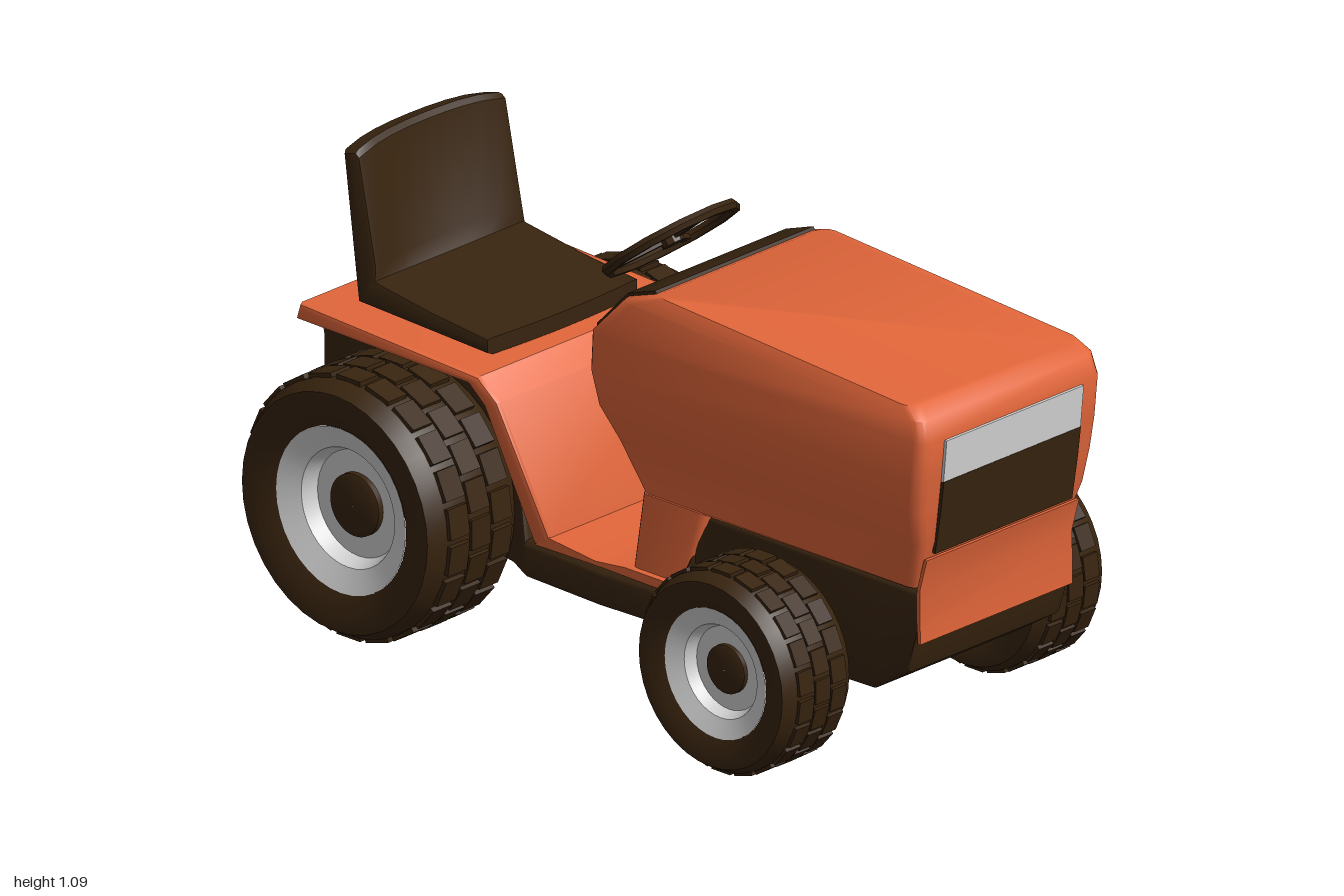
import * as THREE from 'three';
import { toCreasedNormals } from 'three/addons/utils/BufferGeometryUtils.js';

const mat = (name, color) => {
  const m = new THREE.MeshStandardMaterial({ color });
  m.name = name;
  return m;
};

export function createModel() {
  const orange = mat('orange paint', 0xe2663a);
  const dark = mat('dark brown', 0x38240f);
  const light = mat('light grey', 0xd6d6d6);
  const tractor = new THREE.Group();
  tractor.name = 'lawnTractor';

  const add = (name, geo, material, parent = tractor, crease = 0.6) => {
    const mesh = new THREE.Mesh(toCreasedNormals(geo, crease), material);
    mesh.name = name;
    parent.add(mesh);
    return mesh;
  };

  // Counter-clockwise rounded rectangle as [u, v] points
  const roundRect = (u0, u1, v0, v1, r) => {
    const pts = [];
    const corners = [[u1 - r, v1 - r], [u0 + r, v1 - r], [u0 + r, v0 + r], [u1 - r, v0 + r]];
    corners.forEach(([u, v], k) => {
      for (let i = 0; i <= 3; i++) {
        const a = (k + i / 3) * Math.PI / 2;
        pts.push([u + r * Math.cos(a), v + r * Math.sin(a)]);
      }
    });
    return pts;
  };

  // Skin over equal-length rings, closed with a cap at both ends
  const loft = (rings) => {
    const n = rings[0].length, pos = rings.flat(2), idx = [];
    for (let k = 0; k < rings.length - 1; k++) {
      for (let i = 0; i < n; i++) {
        const a = k * n + i, b = k * n + (i + 1) % n;
        idx.push(a, b, b + n, a, b + n, a + n);
      }
    }
    const last = (rings.length - 1) * n;
    for (let i = 1; i < n - 1; i++) idx.push(0, i + 1, i, last, last + i, last + i + 1);
    const g = new THREE.BufferGeometry();
    g.setAttribute('position', new THREE.Float32BufferAttribute(pos, 3));
    g.setIndex(idx);
    return g;
  };

  // Side profile of [z, y] points extruded across x
  const prism = (pts, width, bevel = 0, steps = 1) => {
    const shape = new THREE.Shape(pts.map((p) => new THREE.Vector2(...p)));
    const depth = width - 2 * bevel;
    const g = new THREE.ExtrudeGeometry(shape, {
      depth, steps, bevelEnabled: bevel > 0, bevelSize: bevel,
      bevelThickness: bevel, bevelOffset: -bevel, bevelSegments: 2,
    });
    return g.translate(0, 0, -depth / 2).rotateY(-Math.PI / 2);
  };

  // Thin plate following a profile, pushed out along (dz, dy)
  const plate = (pts, width, dz, dy) =>
    prism([...pts, ...pts.map(([z, y]) => [z + dz, y + dy]).reverse()], width);

  const bend = (g, rule) => {
    const p = g.attributes.position, v = new THREE.Vector3();
    for (let i = 0; i < p.count; i++) {
      rule(v.fromBufferAttribute(p, i));
      p.setXYZ(i, v.x, v.y, v.z);
    }
    return g;
  };

  // Hood and dash column: yFront, yBack, zFront, zBack, half width, corner radius
  const hood = [
    [0.27, 0.27, 0.24, 0.07, 0.27, 0.02],
    [0.48, 0.48, 0.29, 0.09, 0.255, 0.02],
    [0.48, 0.48, 0.93, 0.09, 0.25, 0.02],
    [0.60, 0.60, 0.97, 0.03, 0.275, 0.025],
    [0.68, 0.675, 0.98, -0.02, 0.292, 0.03],
    [0.76, 0.755, 0.99, -0.04, 0.297, 0.03],
    [0.86, 0.85, 1.0, -0.035, 0.297, 0.03],
    [0.91, 0.95, 0.985, 0.06, 0.292, 0.03],
    [0.935, 0.985, 0.95, 0.16, 0.28, 0.03],
  ];
  add('hood', loft(hood.map(([yF, yB, zF, zB, w, r]) =>
    roundRect(zB, zF, -w, w, r).map(([z, x]) => [x, yB + (yF - yB) * (z - zB) / (zF - zB), z]))),
  orange, tractor, 0.75);
  add('frontApron', plate([[0.96, 0.56], [0.938, 0.48], [0.94, 0.35]], 0.5, 0.009, 0), orange);

  // Grille, headlight band and dash panel
  add('grille', plate([[0.962, 0.57], [0.98, 0.68], [0.989, 0.752]], 0.45, 0.009, 0), dark);
  add('headlight', plate([[0.989, 0.752], [0.999, 0.855]], 0.45, 0.008, 0), light);
  add('dashPanel', plate([[0.145, 0.979], [0.06, 0.949], [-0.034, 0.85], [-0.039, 0.8]],
    0.52, -0.005, 0.007), dark);

  // Chassis tub: z, half width, bottom, top
  const chassis = [
    [-0.955, 0.18, 0.38, 0.6], [-0.89, 0.23, 0.22, 0.65], [-0.8, 0.24, 0.2, 0.655],
    [-0.35, 0.24, 0.19, 0.65], [-0.31, 0.25, 0.19, 0.56], [-0.235, 0.29, 0.19, 0.28],
    [0, 0.3, 0.19, 0.28], [0.22, 0.29, 0.19, 0.28], [0.26, 0.255, 0.19, 0.4],
    [0.3, 0.253, 0.19, 0.48], [0.8, 0.25, 0.2, 0.48], [0.91, 0.25, 0.27, 0.48],
    [0.94, 0.25, 0.365, 0.48],
  ];
  add('chassis', loft(chassis.map(([z, w, b, t]) =>
    roundRect(-w, w, b, t, 0.015).map(([x, y]) => [x, y, z]))), dark);

  // Foot well and rear fender shell, wider towards the top
  add('footFloor', prism([[0.22, 0.27], [0.22, 0.3], [0.07, 0.3], [-0.02, 0.29],
    [-0.17, 0.305], [-0.22, 0.27]], 0.57), orange);
  const fender = prism([[-0.16, 0.275], [-0.165, 0.31], [-0.27, 0.62], [-0.33, 0.667],
    [-0.88, 0.692], [-0.892, 0.65], [-0.36, 0.642], [-0.315, 0.6], [-0.215, 0.275]], 0.69, 0.012);
  add('rearFender', bend(fender, (v) => {
    v.x *= THREE.MathUtils.lerp(0.82, 1, THREE.MathUtils.clamp((v.y - 0.28) / 0.34, 0, 1));
  }), orange);

  // Seat with a wrapped backrest
  const seat = prism([[-0.375, 0.675], [-0.375, 0.715], [-0.56, 0.732], [-0.735, 0.757],
    [-0.76, 0.79], [-0.812, 1.055], [-0.825, 1.066], [-0.865, 1.055], [-0.79, 0.69]], 0.5, 0.015, 8);
  add('seat', bend(seat, (v) => {
    const k = (v.x / 0.25) ** 2;
    if (v.y > 0.77) {
      v.z += 0.025 * k;
      v.x *= 0.98;
      if (v.y > 1) v.y -= 0.015 * k * k;
    } else v.z -= v.z > -0.45 ? 0.012 * k : 0;
  }), dark);

  // Steering wheel with spokes
  const steering = new THREE.Group();
  steering.name = 'steeringWheel';
  steering.position.set(0, 0.98, -0.055);
  steering.rotation.x = 0.89;
  tractor.add(steering);
  add('steeringRim', new THREE.TorusGeometry(0.163, 0.014, 6, 12), dark, steering);
  add('steeringHub', new THREE.CylinderGeometry(0.028, 0.028, 0.03, 10).rotateX(Math.PI / 2), dark, steering);
  for (const a of [Math.PI / 2, Math.PI * 1.2, Math.PI * 1.8]) {
    add('steeringSpoke', new THREE.BoxGeometry(0.16, 0.022, 0.012).translate(0.08, 0, 0).rotateZ(a), dark, steering);
  }

  // Rear hitch frame
  const frame = new THREE.Shape(roundRect(-0.145, 0.145, -0.085, 0.085, 0.01).map((p) => new THREE.Vector2(...p)));
  frame.holes.push(new THREE.Path(roundRect(-0.125, 0.125, -0.065, 0.065, 0.005)
    .reverse().map((p) => new THREE.Vector2(...p))));
  const hitch = new THREE.Group();
  hitch.name = 'rearHitch';
  hitch.position.set(0, 0.487, -0.98);
  hitch.rotation.x = -0.2;
  tractor.add(hitch);
  add('hitchFrame', new THREE.ExtrudeGeometry(frame, { depth: 0.035, bevelEnabled: false }), orange, hitch);
  add('hitchBacking', new THREE.BoxGeometry(0.26, 0.14, 0.04).translate(0, 0, 0.032), dark, hitch);
  add('hitchBlock', new THREE.BoxGeometry(0.06, 0.04, 0.02).translate(-0.06, 0.01, 0.006), dark, hitch);

  // Wheels: lathed tyre, staggered tread blocks, dished rim and hub
  const lathe = (pts) =>
    new THREE.LatheGeometry(pts.map((p) => new THREE.Vector2(...p)), 36).rotateZ(-Math.PI / 2);
  const makeWheel = (name, side, x, y, z, R, h, rim, hub) => {
    const wheel = new THREE.Group();
    wheel.name = name;
    wheel.position.set(side * x, y, z);
    wheel.rotation.y = side > 0 ? 0 : Math.PI;
    tractor.add(wheel);
    add('tyre', lathe([[rim, -0.85 * h], [0.78 * R, -h], [0.9 * R, -h], [0.965 * R, -0.75 * h],
      [0.975 * R, 0], [0.965 * R, 0.75 * h], [0.9 * R, h], [0.78 * R, h], [rim, 0.85 * h]]), dark, wheel);
    add('rim', lathe([[rim, 0.86 * h], [0.72 * rim, 0.7 * h], [0.64 * rim, 0.45 * h],
      [hub, 0.45 * h]]), light, wheel);
    add('hub', lathe([[hub, 0.3 * h], [hub, 0.55 * h], [hub * 0.8, 0.6 * h], [0.001, 0.6 * h]]), dark, wheel);
    add('wheelBack', lathe([[0.001, -0.5 * h], [0.6 * rim, -0.5 * h], [rim, -0.85 * h]]), dark, wheel);
    const count = 22, arc = 2 * Math.PI / count;
    const block = new THREE.BoxGeometry(0.43 * h, 0.04 * R, 0.8 * arc * R);
    for (let row = 0; row < 3; row++) {
      const blocks = new THREE.InstancedMesh(block, dark, 0);
      blocks.count = 0;
      for (let i = 0; i < count; i++) {
        const g = block.clone().translate((row - 1) * 0.48 * h, 0.974 * R, 0).rotateX((i + row / 2) * arc);
        add('treadBlock', g, dark, wheel);
      }
    }
  };
  for (const side of [1, -1]) {
    makeWheel('rearWheel', side, 0.39, 0.32, -0.59, 0.318, 0.145, 0.2, 0.075);
    makeWheel('frontWheel', side, 0.415, 0.248, 0.56, 0.246, 0.11, 0.156, 0.058);
  }

  // Axles
  for (const [name, y, z] of [['rearAxle', 0.32, -0.59], ['frontAxle', 0.248, 0.56]]) {
    add(name, new THREE.CylinderGeometry(0.04, 0.04, 0.72, 12).rotateZ(Math.PI / 2).translate(0, y, z), dark);
  }
  return tractor;
}
